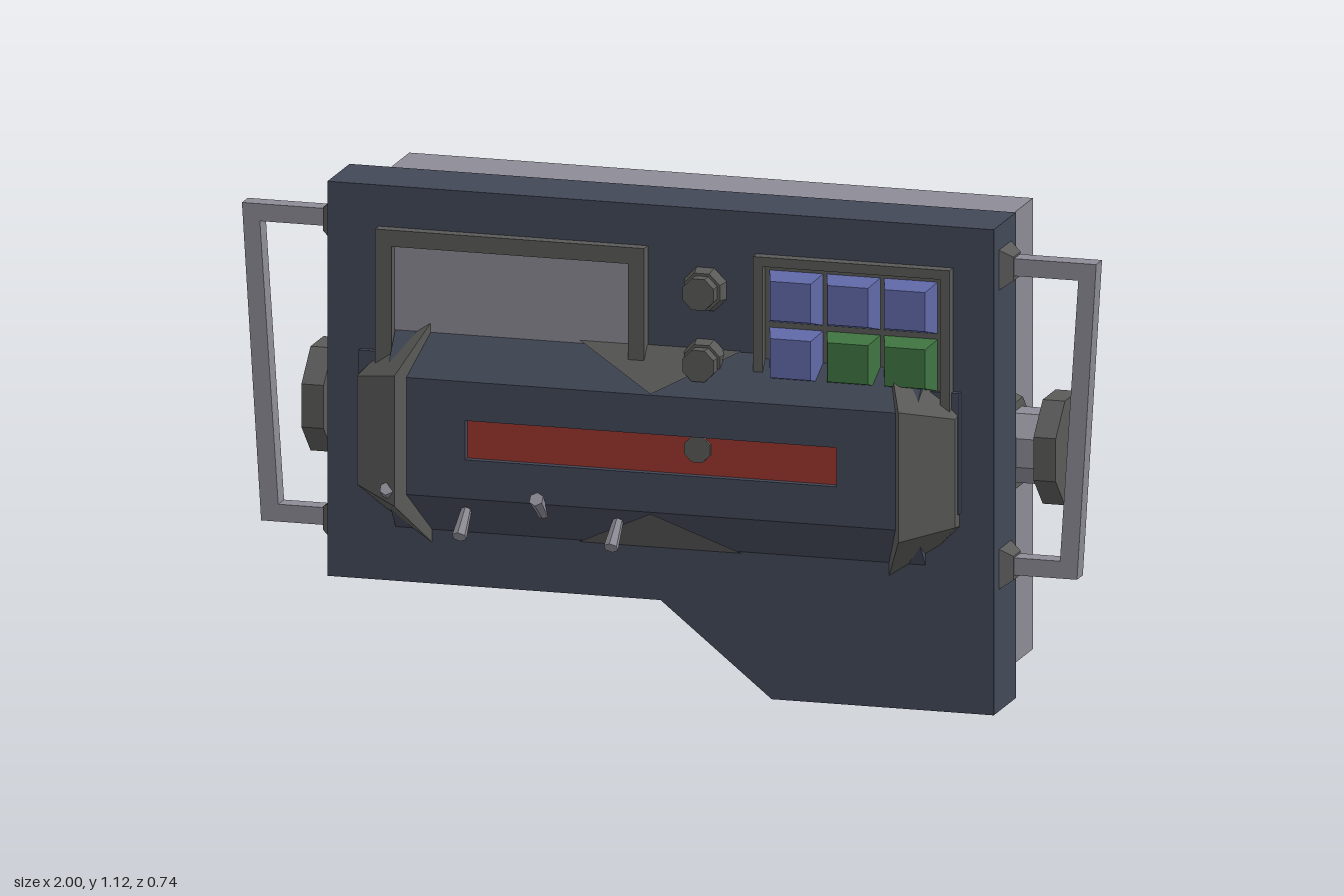
import * as THREE from 'three';
import { ConvexGeometry } from 'three/addons/geometries/ConvexGeometry.js';

const mat = (name, color, side = THREE.FrontSide) => {
  const m = new THREE.MeshStandardMaterial({ color, side, flatShading: true });
  m.name = name;
  return m;
};

export function createModel() {
  const root = new THREE.Group();
  root.name = 'controlConsole';
  const navy = mat('navyPanel', 0x434858);
  const grey = mat('lightGrey', 0x8d8b95);
  const dark = mat('darkGrey', 0x5a5a59, THREE.DoubleSide);
  const red = mat('redStrip', 0x9c362f);
  const blue = mat('blueButton', 0x606aa8);
  const green = mat('greenButton', 0x3f7441);

  const add = (name, geo, material, x = 0, y = 0, z = 0) => {
    const m = new THREE.Mesh(geo, material);
    m.name = name;
    m.position.set(x, y, z);
    root.add(m);
    return m;
  };
  const box = (name, material, x0, x1, y0, y1, z0, z1) =>
    add(name, new THREE.BoxGeometry(x1 - x0, y1 - y0, z1 - z0), material, (x0 + x1) / 2, (y0 + y1) / 2, (z0 + z1) / 2);
  const shape = pts => new THREE.Shape(pts.map(p => new THREE.Vector2(...p)));
  const extrude = (s, z0, z1) =>
    new THREE.ExtrudeGeometry(s, { depth: z1 - z0, bevelEnabled: false }).translate(0, 0, z0);
  // Octagonal prism or cone frustum along z with flats at top and sides
  const octagon = (r0, r1, depth) => {
    const k = 1 / Math.cos(Math.PI / 8);
    return new THREE.CylinderGeometry(r1 * k, r0 * k, depth, 8).rotateY(Math.PI / 8).rotateX(Math.PI / 2);
  };
  const octPoints = r => Array.from({ length: 8 }, (_, i) => {
    const a = (i + 0.5) * Math.PI / 4, k = r / Math.cos(Math.PI / 8);
    return new THREE.Vector2(Math.cos(a) * k, Math.sin(a) * k);
  });
  // Square frustum along z, w0 at the base and w1 at the outer end
  const frustum = (w0, w1, depth) =>
    new THREE.CylinderGeometry(w1 / Math.SQRT2, w0 / Math.SQRT2, depth, 4).rotateY(Math.PI / 4).rotateX(Math.PI / 2);

  // Front panel and rear housing, both with the stepped bottom
  add('frontPanel', extrude(shape([[-0.78, 0.21], [0, 0.21], [0.26, 0], [0.78, 0], [0.78, 1.12], [-0.78, 1.12]]), 0.085, 0.255), navy);
  add('rearHousing', extrude(shape([[-0.73, 0.25], [0.02, 0.25], [0.28, 0.04], [0.73, 0.04], [0.73, 1.08], [-0.73, 1.08]]), -0.21, 0.085), grey);

  // Frame on the underside
  const tray = shape([[-0.46, -0.15], [0, -0.15], [0, 0.19], [-0.46, 0.19]]);
  tray.holes.push(new THREE.Path([[-0.42, -0.11], [-0.04, -0.11], [-0.04, 0.15], [-0.42, 0.15]].map(p => new THREE.Vector2(...p))));
  add('bottomFrame', extrude(tray, 0, 0.05).rotateX(Math.PI / 2), dark, 0, 0.255, 0);

  // Horizontal drum through the body, grooved front and back
  const drum = shape([[0.255, 0.335], [0.33, 0.43], [0.33, 0.52], [0.305, 0.52], [0.305, 0.61], [0.33, 0.61], [0.33, 0.70], [0.255, 0.795],
    [-0.21, 0.82], [-0.33, 0.70], [-0.33, 0.61], [-0.305, 0.61], [-0.305, 0.52], [-0.33, 0.52], [-0.33, 0.43], [-0.21, 0.31]].map(([z, y]) => [-z, y]));
  add('drum', extrude(drum, -0.62, 0.62).rotateY(Math.PI / 2), navy);
  box('drumEnds', navy, -0.703, 0.703, 0.46, 0.74, -0.25, 0.27);
  for (const s of [-1, 1]) {
    for (const e of [-1, 1]) box('grooveEnd', navy, e > 0 ? 0.435 : -0.61, e > 0 ? 0.61 : -0.435, 0.52, 0.61, s > 0 ? 0.3 : -0.33, s > 0 ? 0.33 : -0.3);
    box('redStrip', red, -0.435, 0.435, 0.52, 0.61, s * 0.308 - 0.004, s * 0.308 + 0.004);
  }

  // Faceted caps on the drum ends
  for (const side of [-1, 1]) {
    for (const [s, base, half, tip] of [[1, 0.255, 0.255, 0.535], [-1, 0.21, 0.3, 0.5]]) {
      const pts = [];
      for (const v of [-1, 1]) {
        for (const [x, h, z] of [[tip, half, base], [0.59, 0.15, 0.365], [0.655, half - 0.08, base], [0.70, 0.13, base], [0.70, 0.125, 0.29]])
          pts.push(new THREE.Vector3(side * x, 0.56 + v * h, s * z));
      }
      add('drumCap', new ConvexGeometry(pts), dark);
    }
  }

  // Triangular plates on the four drum slopes
  for (const [yb, zb, ya, za] of [[0.795, 0.255, 0.70, 0.33], [0.335, 0.255, 0.43, 0.33], [0.82, -0.21, 0.70, -0.33], [0.31, -0.21, 0.43, -0.33]]) {
    const g = new THREE.BufferGeometry();
    g.setAttribute('position', new THREE.Float32BufferAttribute([-0.19, yb, zb, 0.19, yb, zb, 0, ya, za], 3));
    g.computeVertexNormals();
    add('slopePlate', g, dark, 0, Math.sign(yb - ya) * 0.003, Math.sign(za) * 0.003);
  }

  // Screen in a raised frame
  box('screen', grey, -0.63, -0.06, 0.7, 1.0, 0.25, 0.259);
  const ring = (x0, x1, y0, y1, w) => {
    const s = shape([[x0, y0], [x1, y0], [x1, y1], [x0, y1]]);
    s.holes.push(new THREE.Path([[x0 + w, y0 + w], [x1 - w, y0 + w], [x1 - w, y1 - w], [x0 + w, y1 - w]].map(p => new THREE.Vector2(...p))));
    return s;
  };
  add('screenFrame', extrude(ring(-0.66, -0.03, 0.66, 1.025, 0.038), 0.25, 0.283), dark);

  // Button pad
  add('buttonFrame', extrude(ring(0.225, 0.685, 0.69, 1.025, 0.022), 0.25, 0.283), dark);
  box('buttonBacking', dark, 0.235, 0.675, 0.7, 1.01, 0.25, 0.262);
  for (let row = 0; row < 2; row++) {
    for (let col = 0; col < 3; col++) {
      const b = add('button', frustum(0.128, 0.095, 0.05), row && col ? green : blue, 0.32 + col * 0.134, row ? 0.8 : 0.932, 0.283);
      b.scale.y = 0.95;
    }
  }

  // Small front knobs
  for (const y of [0.935, 0.77]) {
    add('knobBase', octagon(0.05, 0.042, 0.03), dark, 0.105, y, 0.268);
    add('knob', octagon(0.036, 0.036, 0.04), dark, 0.105, y, 0.292);
  }
  add('stripStud', octagon(0.03, 0.03, 0.012), dark, 0.105, 0.58, 0.314);

  // Toggle levers on the lower drum slope
  [-0.61, -0.44, -0.26, -0.085].forEach((x, i) => {
    const a = new THREE.Vector3(x, 0.4, 0.3);
    const d = new THREE.Vector3(x, i % 2 ? 0.348 : 0.448, 0.358).sub(a);
    const lever = add('toggleLever', new THREE.CylinderGeometry(0.017, 0.012, d.length(), 6), grey);
    lever.position.copy(a).addScaledVector(d, 0.5);
    lever.quaternion.setFromUnitVectors(new THREE.Vector3(0, 1, 0), d.normalize());
  });

  // Rear collar and open ring
  add('rearCollar', octagon(0.2, 0.19, 0.085), dark, 0, 0.71, -0.2425);
  const port = new THREE.Shape(octPoints(0.2));
  port.holes.push(new THREE.Path(octPoints(0.16)));
  add('rearRing', extrude(port, -0.367, -0.285), dark, 0, 0.65, 0);
  add('ringFloor', octagon(0.165, 0.165, 0.009), dark, 0, 0.65, -0.336);

  // Side knobs, grab handles and their mounts
  const handle = [[0.77, 1.04], [1, 1.04], [0.955, 0.31], [0.77, 0.31], [0.77, 0.35], [0.915, 0.35], [0.958, 1], [0.77, 1]];
  for (const s of [-1, 1]) {
    const turn = g => g.rotateY(s * Math.PI / 2);
    add('sideKnobCollar', turn(octagon(0.11, 0.1, 0.03)), dark, s * 0.742, 0.563, -0.003);
    add('sideKnobShaft', turn(octagon(0.08, 0.08, 0.12)), grey, s * 0.785, 0.563, -0.003);
    add('sideKnob', turn(octagon(0.12, 0.12, 0.052)), dark, s * 0.857, 0.563, -0.003);
    add('grabHandle', extrude(shape(handle.map(([x, y]) => [s * x, y])), 0.145, 0.19), grey);
    for (const y of [1.017, 0.327])
      add('handleMount', turn(frustum(0.095, 0.055, 0.03)), dark, s * 0.793, y, 0.168);
  }
  return root;
}
